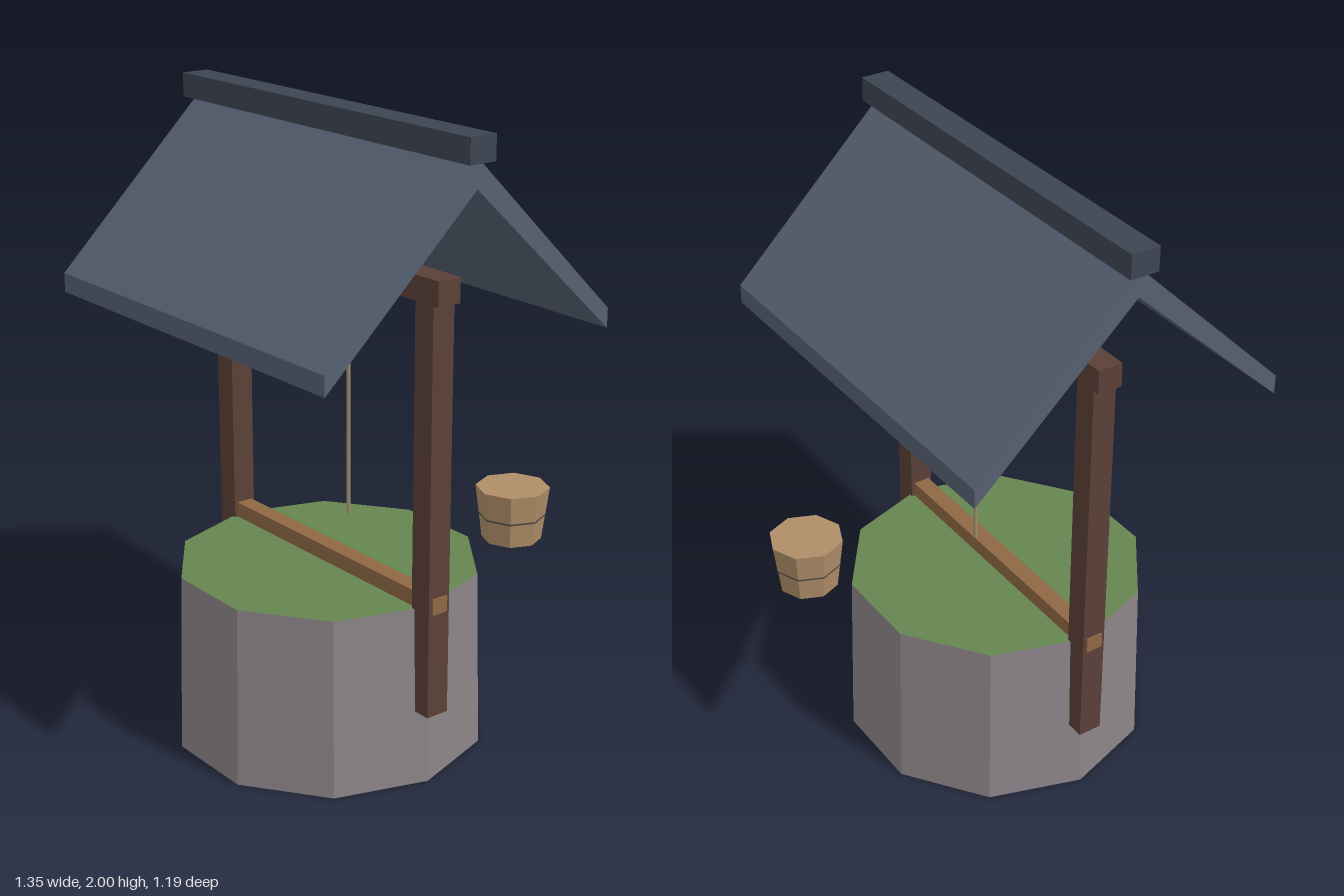
import * as THREE from 'three';

const CZ = 0.08; // depth of the well's axis

const paint = (color) => new THREE.MeshStandardMaterial({ color, flatShading: true });

export function createModel() {
  const model = new THREE.Group();
  model.name = 'well';
  const stone = paint(0x8c8488), grass = paint(0x668450), darkWood = paint(0x5a4037);
  const wood = paint(0x8f6844), paleWood = paint(0xb08e68), slate = paint(0x566072);
  const ridgeSlate = paint(0x3d4553), ropeFibre = paint(0x9c8c6a), iron = paint(0x55504a);

  const add = (name, geometry, material, x, y, z) => {
    const mesh = new THREE.Mesh(geometry, material);
    mesh.name = name;
    mesh.position.set(x, y, z);
    model.add(mesh);
    return mesh;
  };
  const box = (name, w, h, d, material, x, y, z) =>
    add(name, new THREE.BoxGeometry(w, h, d), material, x, y, z);

  // Ten-sided tapered stone wall, its top filled with grass
  const wall = new THREE.CylinderGeometry(0.475, 0.49, 0.572, 10).rotateY(Math.PI / 2);
  add('stoneWall', wall, [stone, grass, stone], 0, 0.286, CZ);

  // Timber frame
  for (const side of [-1, 1]) {
    box(side > 0 ? 'leftPost' : 'rightPost', 0.077, 1.34, 0.077, darkWood, side * 0.489, 0.91, CZ);
  }
  box('topBeam', 1.1, 0.075, 0.08, darkWood, 0, 1.546, CZ);
  box('rimBeam', 1.065, 0.05, 0.055, wood, 0, 0.597, CZ);

  // Pulley wheel and hanging rope
  const wheel = new THREE.CylinderGeometry(0.079, 0.079, 0.062, 8).rotateZ(Math.PI / 2);
  add('pulley', wheel, wood, 0, 1.409, CZ);
  add('rope', new THREE.CylinderGeometry(0.007, 0.007, 0.71, 6), ropeFibre, 0, 1.055, 0);

  // Bucket with a thin hoop
  const bx = 0.236, bz = -0.477;
  add('bucket', new THREE.CylinderGeometry(0.118, 0.095, 0.174, 8), paleWood, bx, 0.661, bz);
  add('bucketHoop', new THREE.CylinderGeometry(0.1075, 0.1065, 0.006, 8), iron, bx, 0.655, bz);

  // Gabled roof: a chevron section extruded along x
  const section = new THREE.Shape([
    [-0.515, 1.375], [0, 1.852], [0.515, 1.375],
    [0.515, 1.435], [0, 1.937], [-0.515, 1.435],
  ].map(([u, v]) => new THREE.Vector2(u, v)));
  const roof = new THREE.ExtrudeGeometry(section, { depth: 1.31, bevelEnabled: false });
  roof.translate(0, 0, -0.655).rotateY(Math.PI / 2);
  add('roof', roof, slate, 0, 0, CZ);
  box('ridgeCap', 1.35, 0.075, 0.092, ridgeSlate, 0, 1.9625, CZ);

  return model;
}
